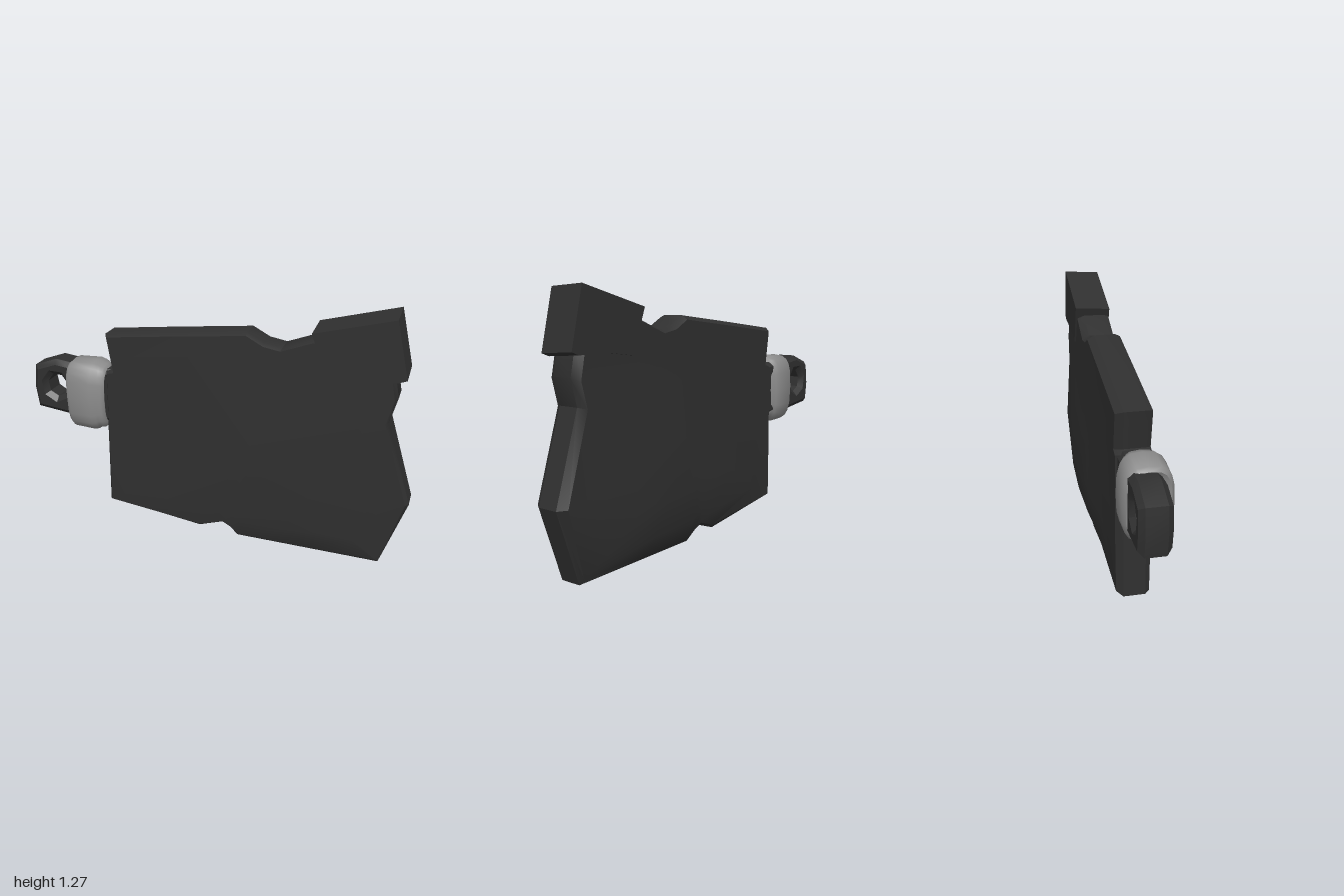
import * as THREE from 'three';
import { toCreasedNormals } from 'three/addons/utils/BufferGeometryUtils.js';

const darkMetal = new THREE.MeshStandardMaterial({ name: 'darkMetal', color: 0x303030 });
const greyWrap = new THREE.MeshStandardMaterial({ name: 'greyWrap', color: 0x8c8c8c });

// Skins a stack of equal-length rings, skipping collapsed triangles
function loft(rings, crease = 0.5) {
  const n = rings[0].length, pos = [];
  const tri = (a, b, c) => {
    const area = b.clone().sub(a).cross(c.clone().sub(a)).length();
    if (area > 1e-8) for (const p of [a, b, c]) pos.push(p.x, p.y, p.z);
  };
  for (let r = 0; r < rings.length - 1; r++) {
    for (let i = 0; i < n; i++) {
      const j = (i + 1) % n, lo = rings[r], hi = rings[r + 1];
      tri(lo[i], lo[j], hi[j]);
      tri(lo[i], hi[j], hi[i]);
    }
  }
  const g = new THREE.BufferGeometry();
  g.setAttribute('position', new THREE.Float32BufferAttribute(pos, 3));
  return toCreasedNormals(g, crease);
}

function part(name, geometry, material) {
  const mesh = new THREE.Mesh(geometry, material);
  mesh.name = name;
  return mesh;
}

// Broad chipped blade with bevelled rim and a slightly swollen back
function blade() {
  const outline = [
    [-0.585, 0.10], [-0.07, 0.03], [0.06, 0.075], [0.10, 0.05], [0.14, 0.01], [0.5, 0.005],
    [0.875, 0.0], [0.995, 0.35], [0.865, 0.765], [0.897, 0.89], [0.87, 1.02], [0.6, 1.15],
    [0.49, 1.125], [0.345, 1.07], [0.26, 1.085], [0.175, 1.13], [-0.2, 1.088],
    [-0.565, 1.045], [-0.535, 0.855], [-0.572, 0.845], [-0.578, 0.5],
  ];
  const cx = 0.2, cy = 0.55;
  const thin = (y) => Math.max(0, 1 - y / 0.13);
  const back = (x, y) => -0.095 + 0.045 * thin(y)
    - 0.035 * Math.exp(-(((x - 0.45) / 0.45) ** 2) - ((y - 0.3) / 0.4) ** 2);
  const front = (x, y) => 0.07 - 0.02 * thin(y);
  const ring = (s, zRule) => outline.map(([px, py]) => {
    const x = cx + (px - cx) * s, y = cy + (py - cy) * s;
    return new THREE.Vector3(x, y, zRule(x, y));
  });
  return loft([
    ring(0, back), ring(0.5, back), ring(0.8, back), ring(0.965, back),
    ring(1, () => -0.06), ring(1, () => 0.045),
    ring(0.98, front), ring(0.8, front), ring(0, front),
  ]);
}

// Heavy block clamped on the upper corner
function cornerBlock() {
  const shape = new THREE.Shape([
    [0.565, 0.965], [0.715, 0.985], [0.89, 0.985], [0.93, 1.0], [0.865, 1.275], [0.487, 1.175],
  ].map(([x, y]) => new THREE.Vector2(x, y)));
  const g = new THREE.ExtrudeGeometry(shape, { depth: 0.18, bevelEnabled: false });
  g.translate(0, 0, -0.105);
  const p = g.attributes.position;
  for (let i = 0; i < p.count; i++) {
    const f = (p.getZ(i) + 0.105) / 0.18;
    p.setY(i, p.getY(i) - 0.012 * f);
  }
  g.computeVertexNormals();
  return g;
}

// Bevelled tang with a flared grip hole
function tang() {
  const shape = new THREE.Shape([
    [-0.5, 0.56], [-0.5, 0.85], [-0.78, 0.865], [-0.86, 0.875],
    [-0.985, 0.83], [-1.0, 0.71], [-0.985, 0.595], [-0.78, 0.57],
  ].map(([x, y]) => new THREE.Vector2(x, y)));
  const hole = [];
  for (let i = 0; i < 7; i++) {
    const a = -i / 7 * Math.PI * 2 + 0.2;
    hole.push(new THREE.Vector2(-0.863 + 0.058 * Math.cos(a), 0.73 + 0.064 * Math.sin(a)));
  }
  shape.holes.push(new THREE.Path(hole));
  const g = new THREE.ExtrudeGeometry(shape, {
    depth: 0.095, bevelThickness: 0.025, bevelSize: 0.025, bevelOffset: -0.025, bevelSegments: 1,
  });
  g.translate(0, 0, -0.06);
  // Widen the bevelled mouth of the hole back to its full size
  return toCreasedNormals(g, 0.6);
}

// Wrapped band: squarish rings around the tang, with a smaller second turn
function wrap() {
  const ring = (x, ry, rz, lean) => Array.from({ length: 20 }, (_, i) => {
    const a = i / 20 * Math.PI * 2, c = Math.cos(a), s = Math.sin(a);
    const y = Math.sign(c) * Math.abs(c) ** 0.65 * ry;
    const z = Math.sign(s) * Math.abs(s) ** 0.65 * rz;
    return new THREE.Vector3(x + lean * y, 0.7 + y, 0.007 + z);
  });
  return loft([
    ring(-0.66, 0.14, 0.075, 0), ring(-0.765, 0.15, 0.08, -0.02), ring(-0.775, 0.168, 0.1, -0.02),
    ring(-0.755, 0.185, 0.114, -0.03), ring(-0.64, 0.19, 0.117, 0.02), ring(-0.615, 0.183, 0.108, 0.03),
    ring(-0.605, 0.175, 0.1, 0.03), ring(-0.585, 0.172, 0.095, 0.02), ring(-0.572, 0.155, 0.08, 0.02),
    ring(-0.575, 0.14, 0.07, 0), ring(-0.66, 0.14, 0.075, 0),
  ], 0.9);
}

export function createModel() {
  const group = new THREE.Group();
  group.name = 'cleaver';
  group.add(
    part('blade', blade(), darkMetal),
    part('cornerBlock', cornerBlock(), darkMetal),
    part('tang', tang(), darkMetal),
    part('wrap', wrap(), greyWrap),
  );
  return group;
}
